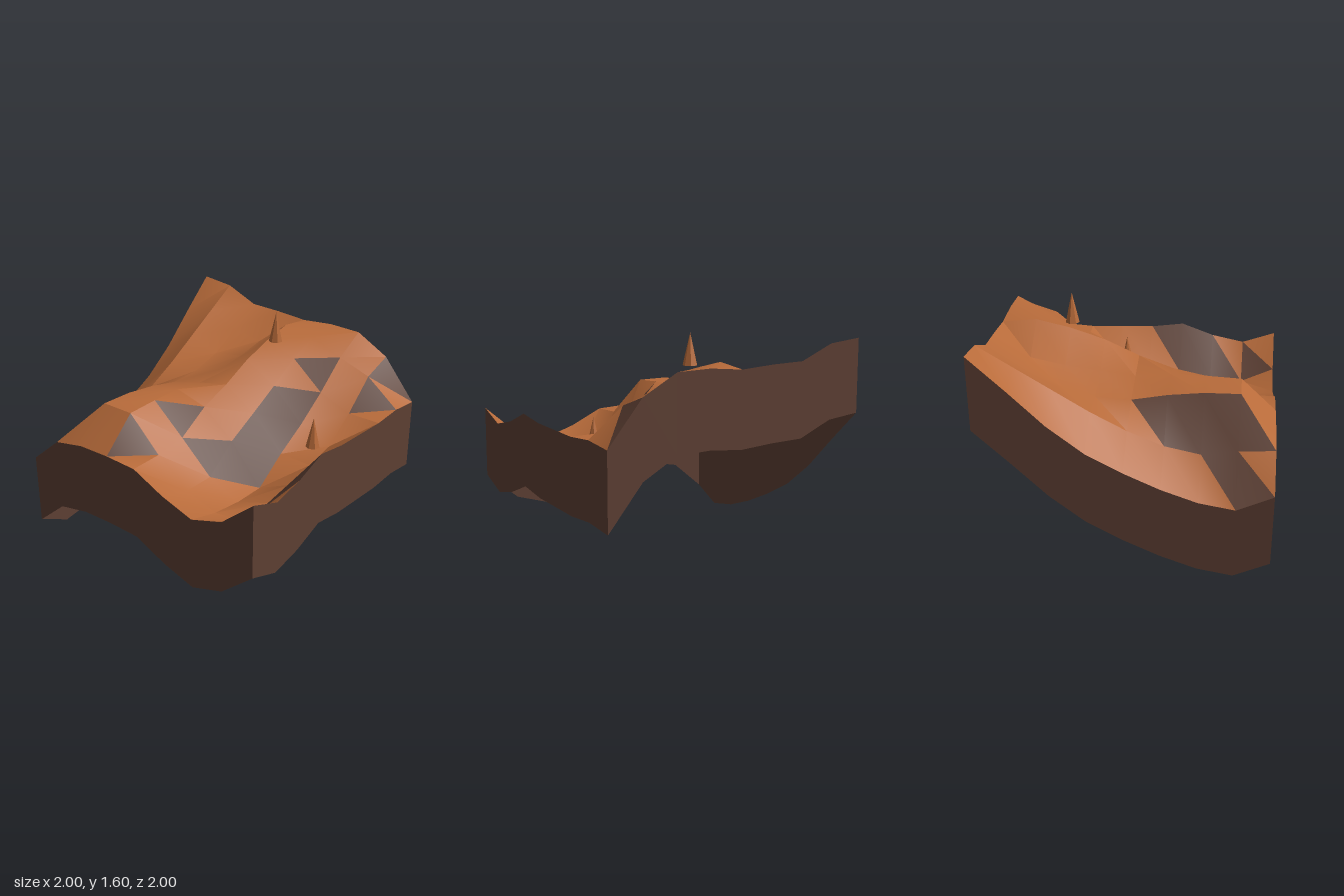
import * as THREE from 'three';
import { toCreasedNormals } from 'three/addons/utils/BufferGeometryUtils.js';

// Ground heights: rows run from back (z = -1) to front (z = 1), columns from x = -1 to x = 1
const N = 8, STEP = 2 / N, SKIRT = 0.53;
const HEIGHTS = [
  [1.56, 1.53, 1.42, 1.41, 1.39, 1.41, 1.40, 1.26, 0.955],
  [1.33, 1.38, 1.27, 1.23, 1.42, 1.38, 1.27, 1.18, 0.98],
  [1.09, 1.23, 1.14, 1.18, 1.365, 1.28, 1.07, 0.97, 0.965],
  [0.90, 1.08, 1.07, 1.15, 1.285, 1.14, 0.90, 0.80, 0.975],
  [0.77, 0.95, 1.06, 1.12, 1.17, 1.01, 0.76, 0.75, 0.985],
  [0.66, 0.85, 1.11, 1.15, 1.08, 0.885, 0.59, 0.70, 1.02],
  [0.575, 0.80, 1.14, 1.15, 0.93, 0.70, 0.59, 0.67, 0.93],
  [0.535, 0.84, 1.145, 1.14, 0.895, 0.70, 0.62, 0.64, 0.88],
  [0.655, 0.86, 0.905, 0.905, 0.89, 0.77, 0.685, 0.76, 0.97],
];

const point = (i, j, drop = 0) =>
  new THREE.Vector3(-1 + i * STEP, HEIGHTS[j][i] - drop, -1 + j * STEP);

function fromTriangles(triangles) {
  return new THREE.BufferGeometry().setFromPoints(triangles.flat());
}

export function createModel() {
  const soil = new THREE.MeshStandardMaterial({ color: 0xb86b3a, side: THREE.DoubleSide });
  soil.name = 'orangeSoil';
  const rock = new THREE.MeshStandardMaterial({ color: 0x5d3f33, side: THREE.DoubleSide });
  rock.name = 'darkRock';

  const model = new THREE.Group();
  model.name = 'terrainTile';

  // Rolling ground: steep triangles are bare rock, the rest is soil
  const gentle = [], steep = [];
  const normal = new THREE.Vector3();
  for (let j = 0; j < N; j++) {
    for (let i = 0; i < N; i++) {
      const a = point(i, j), b = point(i, j + 1), c = point(i + 1, j + 1), d = point(i + 1, j);
      for (const t of [[a, b, d], [b, c, d]]) {
        new THREE.Triangle(...t).getNormal(normal);
        (normal.y < 0.7 ? steep : gentle).push(t);
      }
    }
  }
  const groundGeometry = toCreasedNormals(fromTriangles([...gentle, ...steep]), 0.5);
  groundGeometry.addGroup(0, gentle.length * 3, 0);
  groundGeometry.addGroup(gentle.length * 3, steep.length * 3, 1);
  const ground = new THREE.Mesh(groundGeometry, [soil, rock]);
  ground.name = 'ground';
  model.add(ground);

  // Skirt walls hang from the four borders, open underneath
  const borders = {
    frontSkirt: k => [k, N],
    rightSkirt: k => [N, N - k],
    backSkirt: k => [N - k, 0],
    leftSkirt: k => [0, k],
  };
  for (const [name, at] of Object.entries(borders)) {
    const triangles = [];
    for (let k = 0; k < N; k++) {
      const a = point(...at(k)), b = point(...at(k + 1));
      const c = point(...at(k), SKIRT), d = point(...at(k + 1), SKIRT);
      triangles.push([a, c, d], [a, d, b]);
    }
    const geometry = fromTriangles(triangles);
    geometry.computeVertexNormals();
    const wall = new THREE.Mesh(geometry, rock);
    wall.name = name;
    model.add(wall);
  }

  // Two small pointed spires
  const spireGeometry = toCreasedNormals(new THREE.ConeGeometry(0.052, 0.226, 7), 0.3);
  for (const [name, x, base, z] of [['backSpire', 0.08, 1.38, -0.5], ['sideSpire', 0.66, 0.802, -0.17]]) {
    const spire = new THREE.Mesh(spireGeometry, soil);
    spire.position.set(x, base + 0.113, z);
    spire.name = name;
    model.add(spire);
  }
  return model;
}
